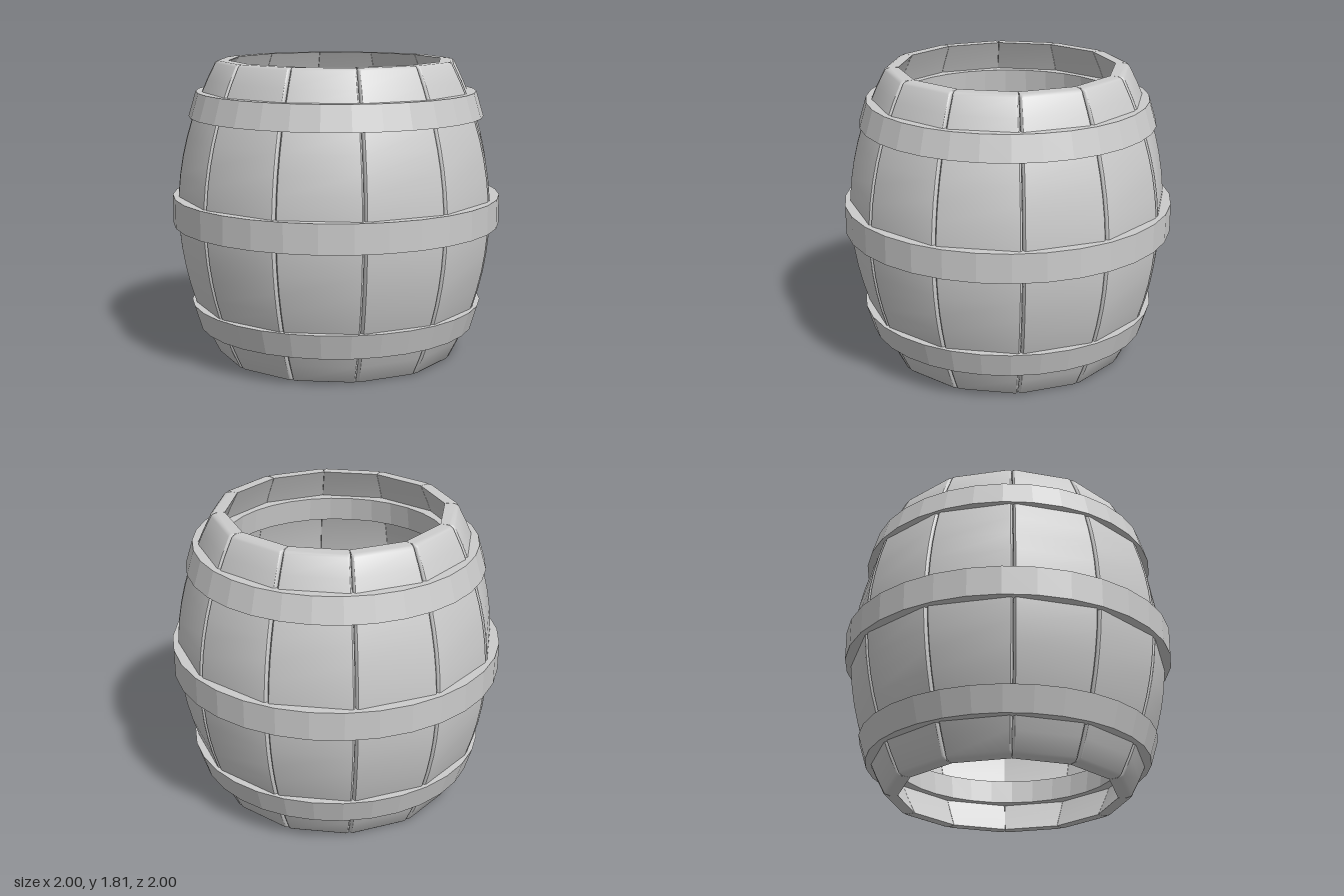
import * as THREE from 'three';
import { toCreasedNormals } from 'three/addons/utils/BufferGeometryUtils.js';

const HEIGHT = 1.81;
const STAVES = 12;
const material = new THREE.MeshStandardMaterial({ color: 0xcccccc });
const hoopMaterial = new THREE.MeshStandardMaterial({ color: 0xcccccc, flatShading: true });

// Distance from the axis to the outer face of a stave at height y
function bulge(y) {
  const t = (2 * y) / HEIGHT - 1;
  return 0.94 - 0.235 * t * t;
}

// Wedge cross-section with rounded outer corners, counter-clockwise from above
function staveSection(y, inset) {
  const slope = Math.tan(Math.PI / STAVES);
  const outer = bulge(y) - inset;
  const inner = bulge(y) - 0.078;
  const half = (r) => r * slope - 0.001;
  const b = 0.022, d = 0.03;
  const right = [];
  for (let k = 0; k <= 4; k++) {
    const a = (k / 4) * Math.PI / 2;
    const z = outer - d * (1 - Math.cos(a));
    right.push([half(z) - b * (1 - Math.sin(a)), z]);
  }
  right.push([half(inner), inner]);
  const left = right.map(([x, z]) => [-x, z]).reverse();
  return [...right, ...left];
}

// One bowed plank, lofted from bottom to top with softened ends
function staveGeometry() {
  const rows = [[0, 0.014], [0.004, 0.005], [0.014, 0]];
  for (let i = 1; i < 16; i++) rows.push([(HEIGHT * i) / 16, 0]);
  rows.push([HEIGHT - 0.014, 0], [HEIGHT - 0.004, 0.005], [HEIGHT, 0.014]);

  const positions = [], index = [];
  let n = 0;
  for (const [y, inset] of rows) {
    const section = staveSection(y, inset);
    n = section.length;
    for (const [x, z] of section) positions.push(x, y, z);
  }
  for (let i = 0; i < rows.length - 1; i++) {
    for (let j = 0; j < n; j++) {
      const a = i * n + j, b = i * n + ((j + 1) % n);
      index.push(a, b, b + n, a, b + n, a + n);
    }
  }
  const top = (rows.length - 1) * n;
  for (let j = 1; j < n - 1; j++) {
    index.push(0, j + 1, j);
    index.push(top, top + j, top + j + 1);
  }
  const geometry = new THREE.BufferGeometry();
  geometry.setAttribute('position', new THREE.Float32BufferAttribute(positions, 3));
  geometry.setIndex(index);
  return toCreasedNormals(geometry, Math.PI / 6);
}

// Closed ring with a four-cornered section, faceted around
function hoop(name, y0, y1, outer0, outer1, inner0, inner1) {
  const profile = [[outer0, y0], [outer1, y1], [inner1, y1], [inner0, y0], [outer0, y0]]
    .map(([r, y]) => new THREE.Vector2(r, y));
  const mesh = new THREE.Mesh(new THREE.LatheGeometry(profile, 32), hoopMaterial);
  mesh.name = name;
  return mesh;
}

export function createModel() {
  const barrel = new THREE.Group();
  barrel.name = 'barrel';

  // Ring of staves, open at both ends
  const staves = new THREE.Group();
  staves.name = 'staves';
  const geometry = staveGeometry();
  for (let i = 0; i < STAVES; i++) {
    const stave = new THREE.Mesh(geometry, material);
    stave.name = 'stave';
    stave.rotation.y = (i / STAVES) * Math.PI * 2;
    staves.add(stave);
  }
  barrel.add(staves);

  // Hoops: flared ones near the ends, a straight one at the waist
  barrel.add(
    hoop('bottomHoop', 0.185, 0.335, 0.85, 0.895, 0.67, 0.69),
    hoop('middleHoop', 0.82, 0.995, 1, 1, 0.82, 0.82),
    hoop('topHoop', 1.475, 1.625, 0.895, 0.85, 0.69, 0.67),
  );
  return barrel;
}
